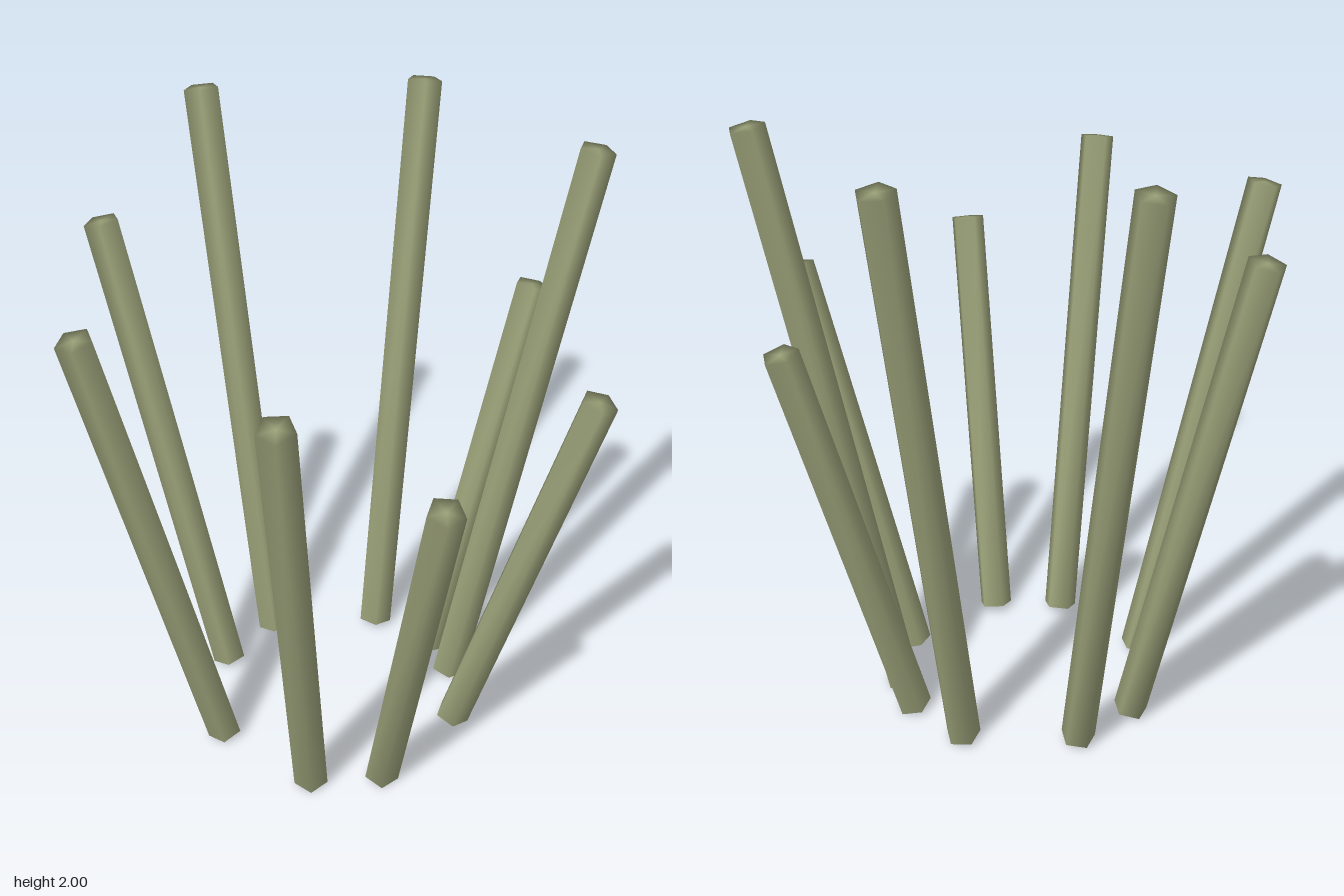
import * as THREE from 'three';
import { mergeVertices } from 'three/addons/utils/BufferGeometryUtils.js';

const COUNT = 9;
const GOLDEN_ANGLE = Math.PI * (3 - Math.sqrt(5));
const HEIGHTS = [1.39, 1.69, 1.99];
const RADIUS = 0.058;
const BASE_RING = 0.425;
const TOP_RING = 0.813;
const UP = new THREE.Vector3(0, 1, 0);

// Five-sided stalk with shared normals, so that sides and ends shade softly
function stalkGeometry(length) {
  const raw = new THREE.CylinderGeometry(RADIUS, RADIUS, length, 5, 1, false, Math.PI);
  raw.deleteAttribute('normal');
  raw.deleteAttribute('uv');
  const geometry = mergeVertices(raw, 1e-4);
  geometry.computeVertexNormals();
  return geometry;
}

export function createModel() {
  const group = new THREE.Group();
  group.name = 'stalkCluster';
  const olive = new THREE.MeshStandardMaterial({ color: 0x9aa078 });
  olive.name = 'oliveGreen';

  // Stalks lean outward around a ring, stepping by the golden angle
  for (let i = 0; i < COUNT; i++) {
    const a = i * GOLDEN_ANGLE;
    const at = (r, y) => new THREE.Vector3(r * Math.cos(a) - 0.006, y, r * Math.sin(a) + 0.015);
    const base = at(BASE_RING, 0.015);
    const top = at(TOP_RING, HEIGHTS[i % 3]);
    const axis = top.clone().sub(base);
    const stalk = new THREE.Mesh(stalkGeometry(axis.length()), olive);
    stalk.name = `stalk${i + 1}`;
    stalk.position.copy(base).add(top).multiplyScalar(0.5);
    stalk.quaternion.setFromUnitVectors(UP, axis.normalize());
    group.add(stalk);
  }
  return group;
}
